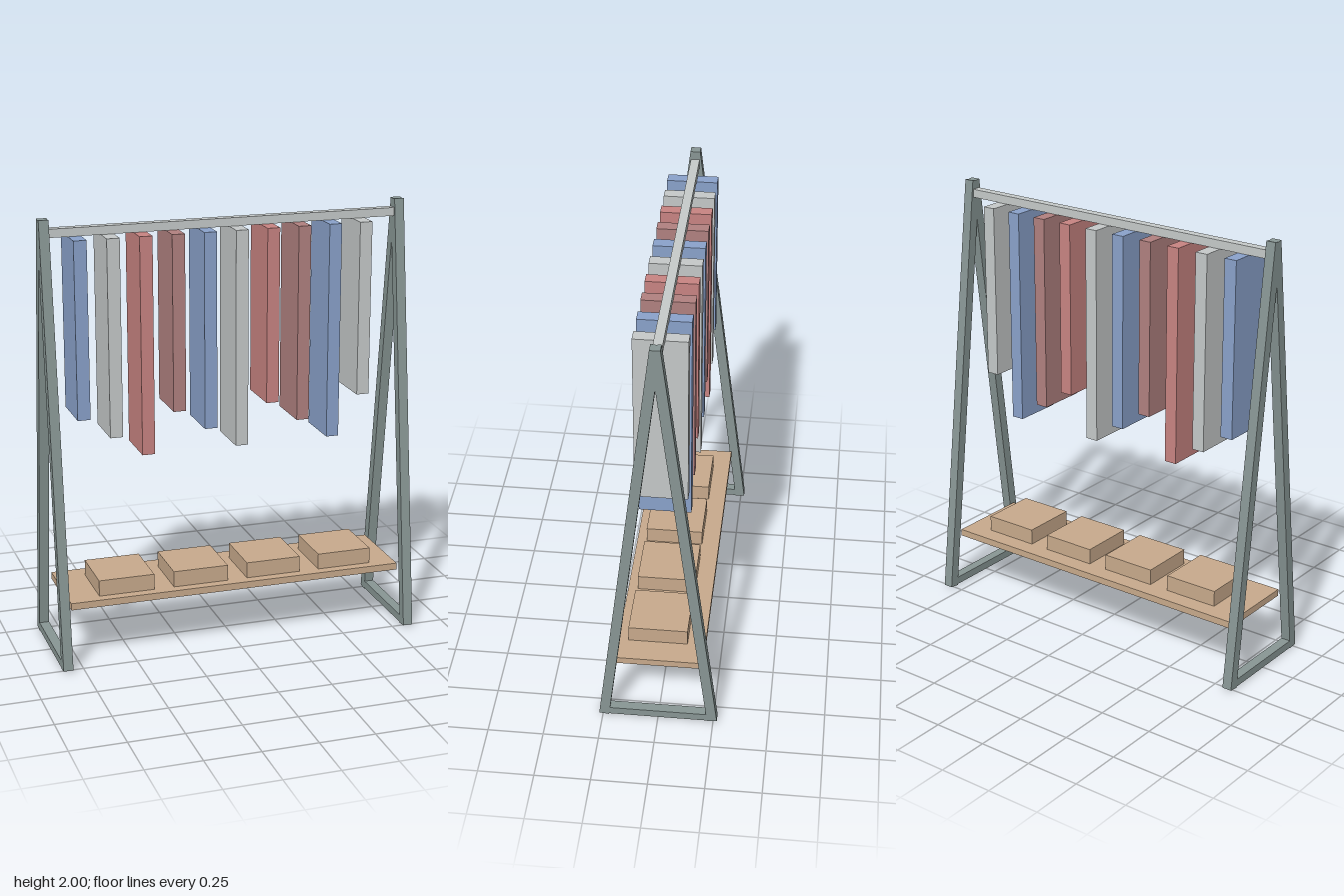
import * as THREE from 'three';

const mat = (name, color) => {
  const m = new THREE.MeshStandardMaterial({ color });
  m.name = name;
  return m;
};

export function createModel() {
  const root = new THREE.Group();
  root.name = 'clothesRack';

  const frame = mat('grey green steel', 0x889694);
  const steel = mat('pale steel', 0xc6cbca);
  const wood = mat('light wood', 0xc8aa8c);
  const blue = mat('blue cloth', 0x8aa2cb);
  const grey = mat('grey cloth', 0xc5c9c9);
  const red = mat('red cloth', 0xc88482);
  const maroon = mat('dull red cloth', 0xb18180);

  const box = (parent, name, material, w, h, d, x, y, z) => {
    const mesh = new THREE.Mesh(new THREE.BoxGeometry(w, h, d), material);
    mesh.name = name;
    mesh.position.set(x, y, z);
    parent.add(mesh);
    return mesh;
  };

  // A-shaped end frames: two leaning legs joined by a foot bar
  const t = 0.045, foot = 0.245, y0 = 0.003, y1 = 1.997;
  const lean = Math.atan2(foot, y1 - y0);
  for (const side of [-1, 1]) {
    const end = new THREE.Group();
    end.name = side > 0 ? 'leftEndFrame' : 'rightEndFrame';
    end.position.x = side * 0.8225;
    for (const s of [-1, 1]) {
      const leg = box(end, s > 0 ? 'frontLeg' : 'backLeg', frame,
        t, Math.hypot(foot, y1 - y0), t, 0, (y0 + y1) / 2, s * foot / 2);
      leg.rotation.x = -s * lean;
    }
    box(end, 'footBar', frame, t, 0.036, 0.47, 0, 0.023, 0);
    root.add(end);
  }

  // Hanging rail
  box(root, 'rail', steel, 1.6, 0.038, 0.04, 0, 1.94, 0);

  // Garments in repeating colours and lengths
  const cloths = [blue, grey, red, maroon];
  const hems = [1.12, 1.026, 0.932];
  const top = 1.921;
  for (let i = 0; i < 10; i++) {
    const hem = hems[i % 3];
    box(root, 'garment' + (i + 1), cloths[i % 4], 0.058, top - hem, 0.23,
      -0.687 + i * 0.146, (top + hem) / 2, 0);
  }

  // Shelf with four storage boxes
  box(root, 'shelf', wood, 1.572, 0.032, 0.394, 0, 0.281, 0);
  for (let i = 0; i < 4; i++) {
    box(root, 'storageBox' + (i + 1), wood, 0.258, 0.075, 0.267,
      -0.516 + i * 0.351, 0.3335, 0.0175);
  }
  return root;
}
